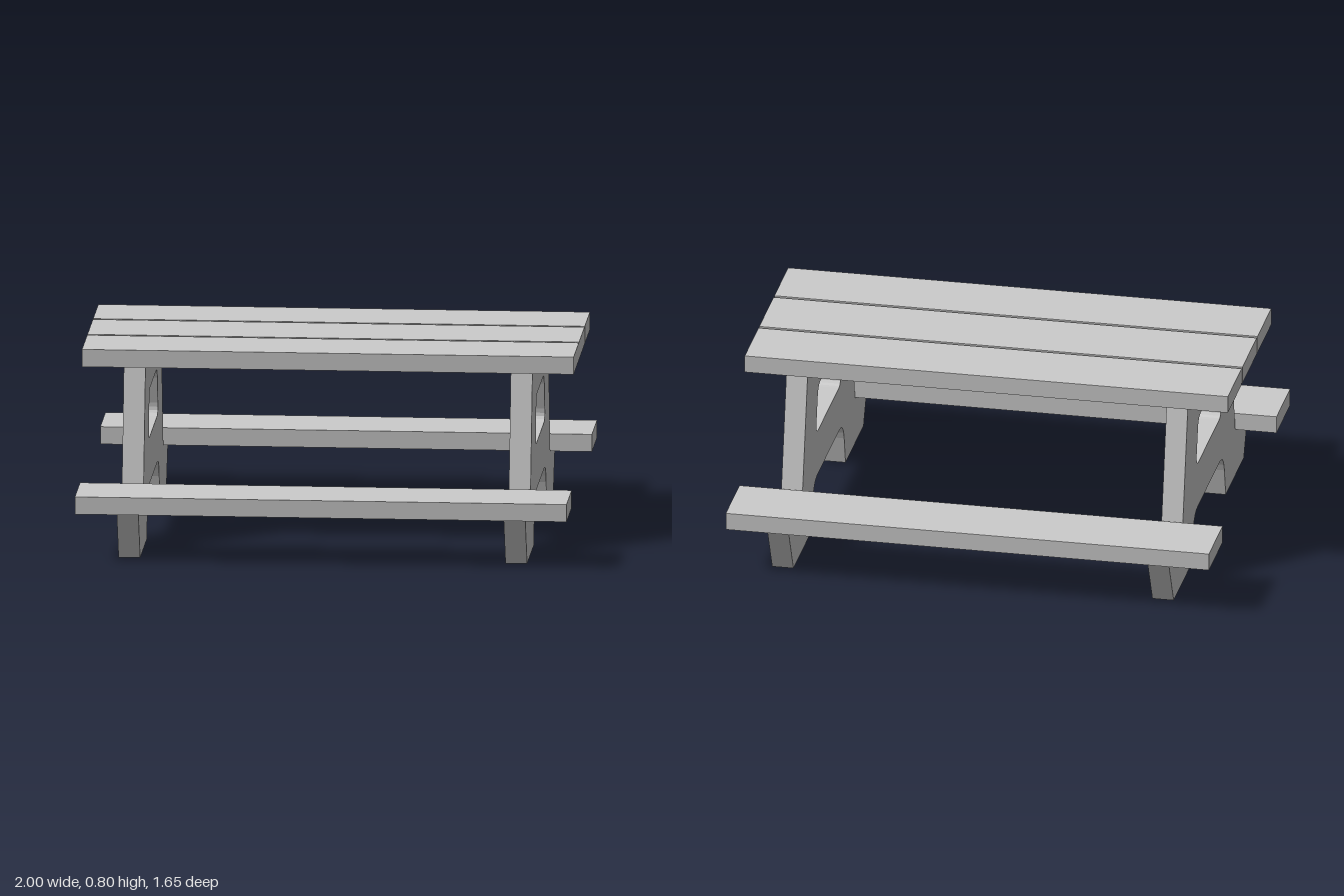
import * as THREE from 'three';

const material = new THREE.MeshStandardMaterial({ color: 0xcccccc });

// Full-length board, bottom at y, spanning z0 to z1
function plank(name, y, z0, z1) {
  const mesh = new THREE.Mesh(new THREE.BoxGeometry(2, 0.072, z1 - z0), material);
  mesh.position.set(0, y + 0.036, (z0 + z1) / 2);
  mesh.name = name;
  return mesh;
}

// Trestle profile: shape x runs along the table's depth
function trestleGeometry() {
  const s = new THREE.Shape();
  s.moveTo(0.345, 0);
  s.lineTo(0.712, 0);
  s.lineTo(0.81, 0.2);
  s.lineTo(0.54, 0.2);
  s.lineTo(0.425, 0.73);
  s.lineTo(-0.425, 0.73);
  s.lineTo(-0.54, 0.2);
  s.lineTo(-0.81, 0.2);
  s.lineTo(-0.712, 0);
  s.lineTo(-0.345, 0);
  // arch between the feet
  s.lineTo(-0.318, 0.12);
  s.quadraticCurveTo(-0.3, 0.2, -0.22, 0.2);
  s.lineTo(0.22, 0.2);
  s.quadraticCurveTo(0.3, 0.2, 0.318, 0.12);
  s.closePath();

  // rounded trapezoid opening
  const h = new THREE.Path();
  h.moveTo(-0.21, 0.392);
  h.quadraticCurveTo(-0.252, 0.392, -0.244, 0.44);
  h.lineTo(-0.218, 0.55);
  h.quadraticCurveTo(-0.207, 0.592, -0.16, 0.592);
  h.lineTo(0.16, 0.592);
  h.quadraticCurveTo(0.207, 0.592, 0.218, 0.55);
  h.lineTo(0.244, 0.44);
  h.quadraticCurveTo(0.252, 0.392, 0.21, 0.392);
  h.closePath();
  s.holes.push(h);

  const depth = 0.088;
  return new THREE.ExtrudeGeometry(s, { depth, bevelEnabled: false, curveSegments: 5 })
    .translate(0, 0, -depth / 2)
    .rotateY(Math.PI / 2);
}

export function createModel() {
  const group = new THREE.Group();
  group.name = 'picnicTable';

  // Table top
  group.add(plank('tabletopPlankFront', 0.73, 0.161, 0.441));
  group.add(plank('tabletopPlankMiddle', 0.73, -0.146, 0.146));
  group.add(plank('tabletopPlankBack', 0.73, -0.441, -0.161));

  // Benches
  group.add(plank('benchFront', 0.2, 0.547, 0.826));
  group.add(plank('benchBack', 0.2, -0.826, -0.547));

  // Trestles
  const geometry = trestleGeometry();
  for (const side of [1, -1]) {
    const trestle = new THREE.Mesh(geometry, material);
    trestle.position.x = side * 0.787;
    trestle.name = side > 0 ? 'trestleLeft' : 'trestleRight';
    group.add(trestle);
  }
  return group;
}
